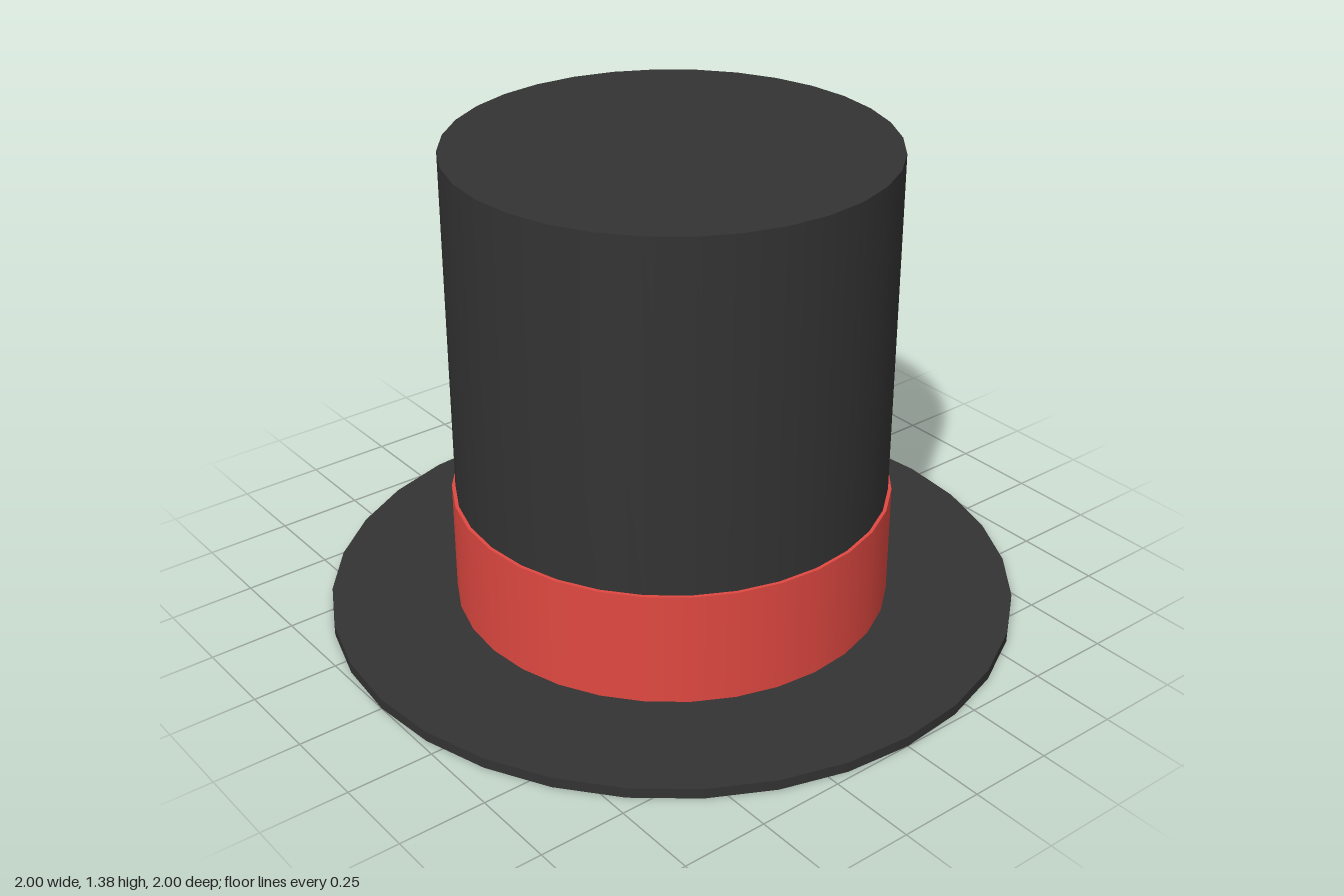
import * as THREE from 'three';
import { mergeGeometries } from 'three/addons/utils/BufferGeometryUtils.js';

const SIDES = 32;

// Revolve each profile segment on its own, so corners stay sharp and sides smooth
function turned(name, material, profile) {
  const parts = [];
  for (let i = 0; i < profile.length - 1; i++) {
    const points = [profile[i], profile[i + 1]].map(([r, y]) => new THREE.Vector2(r, y));
    parts.push(new THREE.LatheGeometry(points, SIDES));
  }
  const mesh = new THREE.Mesh(mergeGeometries(parts), material);
  mesh.name = name;
  return mesh;
}

export function createModel() {
  const felt = new THREE.MeshStandardMaterial({ color: 0x333333, side: THREE.DoubleSide });
  felt.name = 'charcoal felt';
  const ribbon = new THREE.MeshStandardMaterial({ color: 0xe04841, side: THREE.DoubleSide });
  ribbon.name = 'red ribbon';

  const crownR = 0.624, bandR = 0.634, brimH = 0.03, bandTop = 0.365, top = 1.385;

  const hat = new THREE.Group();
  hat.name = 'topHat';
  hat.add(
    // Flat ring, open in the middle
    turned('brim', felt, [[bandR, 0], [1, 0], [1, brimH], [bandR, brimH]]),
    // Band wall, seen inside and out, with its thin upper ledge
    turned('band', ribbon, [[bandR, 0], [bandR, bandTop], [crownR, bandTop]]),
    // Hollow crown with a closed flat top
    turned('crown', felt, [[crownR, bandTop], [crownR, top], [0, top]]),
  );
  return hat;
}
